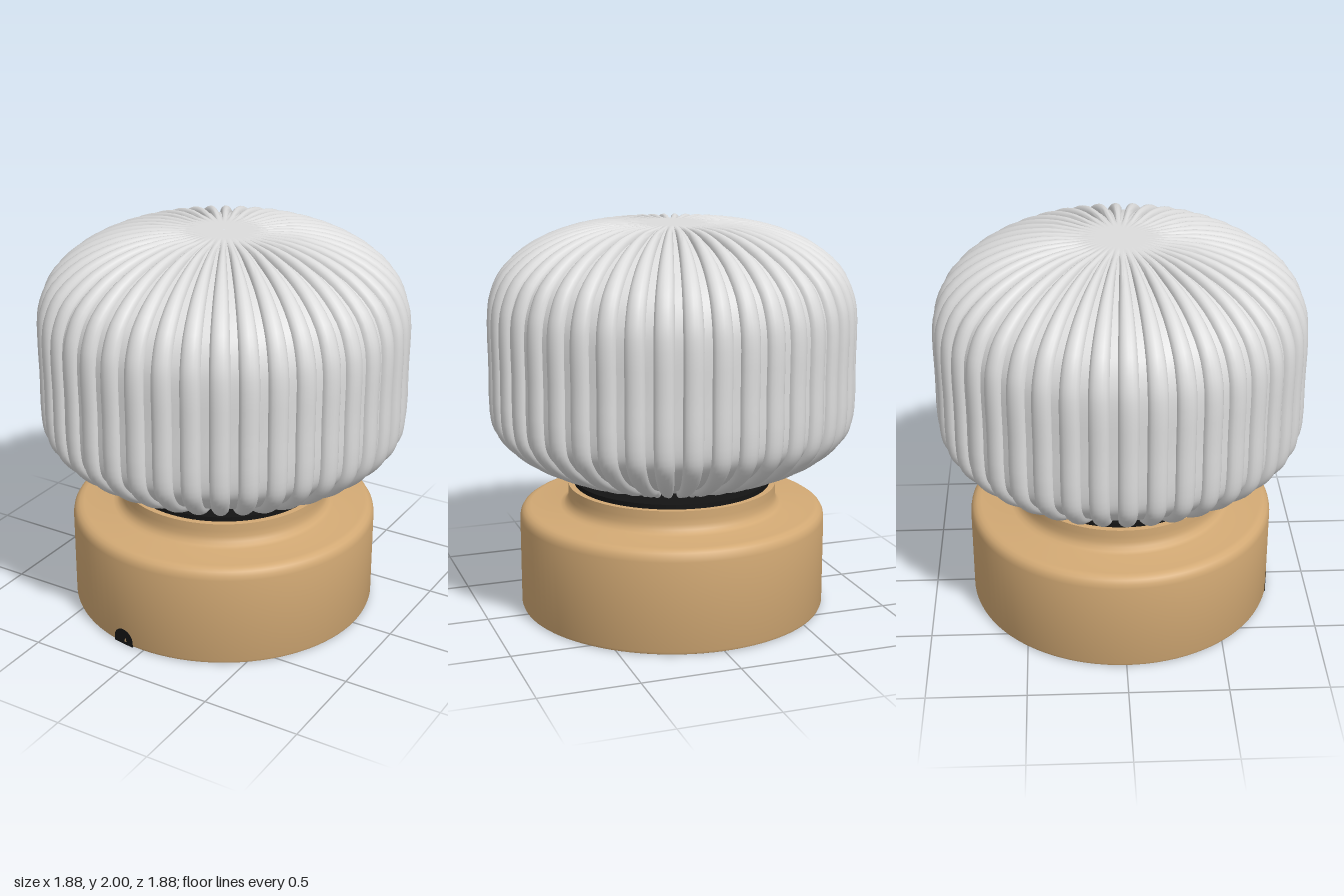
import * as THREE from 'three';
import { toCreasedNormals } from 'three/addons/utils/BufferGeometryUtils.js';

const mat = (name, color, side = THREE.FrontSide) => {
  const m = new THREE.MeshStandardMaterial({ color, side });
  m.name = name;
  return m;
};

const RIBS = 42;

// Turned part from [radius, height] pairs
function turned(points, crease = 0.6) {
  const g = new THREE.LatheGeometry(points.map(p => new THREE.Vector2(...p)), 96);
  return toCreasedNormals(g, crease);
}

// Ribbed shade: rounded ribs rise along the profile normal between narrow valleys
function shadeGeometry() {
  const curve = new THREE.CatmullRomCurve3([
    [0.4, 0.672], [0.44, 0.692], [0.56, 0.725], [0.7, 0.783], [0.8, 0.84], [0.87, 0.9], [0.92, 0.97],
    [0.938, 1.06], [0.938, 1.3], [0.938, 1.55], [0.92, 1.65], [0.865, 1.765], [0.74, 1.877],
    [0.57, 1.957], [0.39, 1.996], [0.2, 2.0], [0.1, 2.0], [0.002, 2.0],
  ].map(([r, y]) => new THREE.Vector3(r, y, 0)), false, 'centripetal');

  // One rib: position across the pitch and height
  const section = [];
  for (let i = 0; i <= 8; i++) {
    const a = Math.PI * i / 8;
    section.push([-0.36 * Math.cos(a), Math.sin(a)]);
  }
  section.push([0.5, 0]);

  const rows = 46, cols = RIBS * section.length;
  const pos = [], index = [];
  for (let k = 0; k <= rows; k++) {
    const p = curve.getPoint(k / rows), t = curve.getTangent(k / rows);
    const fade = THREE.MathUtils.clamp((p.x - 0.17) / 0.3, 0, 1);
    const depth = 0.034 * fade;
    for (let rib = 0; rib < RIBS; rib++) {
      for (const [s, h] of section) {
        const angle = (rib + s) / RIBS * Math.PI * 2;
        const inset = depth * (1 - h);
        const r = p.x - t.y * inset, y = p.y + t.x * inset;
        pos.push(r * Math.cos(angle), y, r * Math.sin(angle));
      }
    }
  }
  for (let k = 0; k < rows; k++) {
    for (let j = 0; j < cols; j++) {
      const a = k * cols + j, b = k * cols + (j + 1) % cols;
      index.push(a, a + cols, b, b, a + cols, b + cols);
    }
  }
  const g = new THREE.BufferGeometry();
  g.setAttribute('position', new THREE.Float32BufferAttribute(pos, 3));
  g.setIndex(index);
  return toCreasedNormals(g, 0.75);
}

// Arched cable opening whose front follows the round wall
function cableOpeningGeometry() {
  const s = new THREE.Shape();
  s.moveTo(-0.18, 0.001);
  s.lineTo(-0.06, 0.001);
  s.lineTo(-0.06, 0.026);
  s.absarc(-0.12, 0.026, 0.06, 0, Math.PI, false);
  s.lineTo(-0.18, 0.001);
  const g = new THREE.ExtrudeGeometry(s, { depth: 1, bevelEnabled: false, curveSegments: 20 });
  const p = g.attributes.position;
  for (let i = 0; i < p.count; i++) {
    const radius = p.getZ(i) > 0.5 ? 0.797 : 0.735;
    p.setZ(i, Math.sqrt(radius * radius - p.getX(i) ** 2));
  }
  g.computeVertexNormals();
  return g;
}

// Flat mounting bar with a centre hole and two keyholes
function barGeometry() {
  const s = new THREE.Shape();
  s.moveTo(-0.66, -0.09);
  s.lineTo(0.66, -0.09);
  s.lineTo(0.66, 0.09);
  s.lineTo(-0.66, 0.09);
  s.closePath();
  const hole = (x, r) => {
    const h = new THREE.Path();
    h.absarc(x, 0, r, 0, Math.PI * 2, true);
    s.holes.push(h);
  };
  hole(0, 0.05);
  for (const side of [-1, 1]) {
    const h = new THREE.Path(), x = side * 0.46;
    h.absarc(x, 0, 0.038, Math.PI * 1.85, Math.PI * 0.15, true);
    h.lineTo(x + 0.075, 0.017);
    h.lineTo(x + 0.075, -0.017);
    h.closePath();
    s.holes.push(h);
  }
  const g = new THREE.ExtrudeGeometry(s, { depth: 0.015, bevelEnabled: false, curveSegments: 20 });
  return g.rotateX(Math.PI / 2);
}

export function createModel() {
  const model = new THREE.Group();
  model.name = 'tableLamp';
  const glass = mat('frostedGlass', 0xdcdcdc);
  const wood = mat('wood', 0xd2a974);
  const black = mat('blackPlastic', 0x141414);
  const steel = mat('steel', 0x8e9696);

  const add = (parent, name, geometry, material, x = 0, y = 0, z = 0) => {
    const m = new THREE.Mesh(geometry, material);
    m.name = name;
    m.position.set(x, y, z);
    parent.add(m);
    return m;
  };

  add(model, 'ribbedShade', shadeGeometry(), glass);

  // Base with rounded shoulder and coved neck
  add(model, 'woodenBase', turned([
    [0.745, 0.012], [0.755, 0], [0.78, 0], [0.79, 0.005], [0.795, 0.018], [0.795, 0.475], [0.791, 0.498],
    [0.78, 0.517], [0.762, 0.529], [0.74, 0.533], [0.585, 0.533], [0.565, 0.54], [0.549, 0.556],
    [0.541, 0.58], [0.54, 0.61], [0.54, 0.65], [0.48, 0.65],
  ]), wood);

  // Hollow underside
  add(model, 'innerShell', turned([[0, 0.42], [0.6, 0.42], [0.68, 0.4], [0.745, 0.34], [0.745, 0.01]]), black);
  add(model, 'cableOpening', cableOpeningGeometry(), black);

  // Holder under the shade
  add(model, 'shadeHolder', new THREE.CylinderGeometry(0.51, 0.51, 0.024, 80), black, 0, 0.662, 0);

  // Mounting bracket with upturned ends
  const bracket = new THREE.Group();
  bracket.name = 'mountingBracket';
  model.add(bracket);
  add(bracket, 'bar', barGeometry(), steel, 0, 0.03, 0);
  for (const side of [-1, 1]) {
    add(bracket, 'endFlange', new THREE.BoxGeometry(0.015, 0.12, 0.18), steel, side * 0.653, 0.085, 0);
    add(bracket, 'endScrew', new THREE.CylinderGeometry(0.025, 0.025, 0.03, 16).rotateZ(Math.PI / 2),
      steel, side * 0.672, 0.09, 0);
  }

  // Cable clamp inside the base
  const clamp = new THREE.Group();
  clamp.name = 'cableClamp';
  clamp.position.set(-0.12, 0.05, 0.4);
  model.add(clamp);
  add(clamp, 'washer', new THREE.CylinderGeometry(0.1, 0.1, 0.015, 32), steel);
  add(clamp, 'screwHead', new THREE.CylinderGeometry(0.04, 0.035, 0.02, 24), steel, 0, -0.015, 0);
  add(clamp, 'post', new THREE.CylinderGeometry(0.03, 0.03, 0.36, 16), black, 0, 0.188, 0);

  return model;
}
